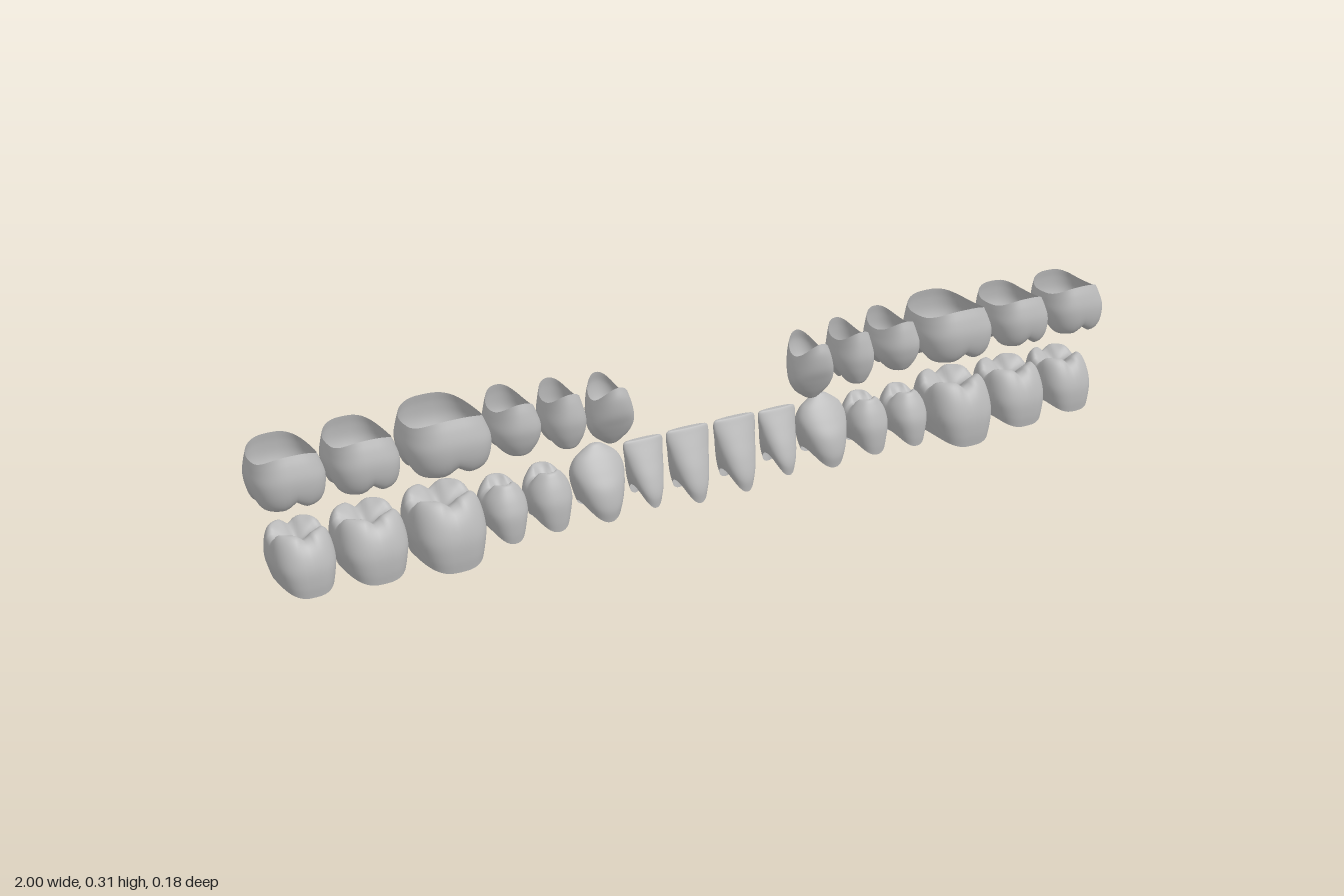
import * as THREE from 'three';

const SEGMENTS = 48, RINGS = 36;

// Crown profiles from open neck to biting surface: [width factor, depth factor, height]
const KINDS = {
  molar: {
    profile: [[0.86, 0.88, 0], [0.93, 0.96, 0.2], [1, 1, 0.45], [0.97, 0.93, 0.7], [0.88, 0.79, 0.9],
      [0.74, 0.64, 0.99], [0.52, 0.44, 0.95], [0.25, 0.22, 0.87], [0, 0, 0.84]],
    power: 2.8, margin: 0.02, lean: 0.02, grooveX: 0.17, grooveZ: 0.13,
  },
  premolar: {
    profile: [[0.78, 0.88, 0], [0.88, 0.96, 0.2], [1, 1, 0.48], [0.95, 0.9, 0.7], [0.74, 0.74, 0.89],
      [0.46, 0.58, 1], [0.3, 0.38, 0.95], [0.15, 0.18, 0.88], [0, 0, 0.85]],
    power: 2.3, margin: 0.025, lean: 0.015, grooveX: 0.16, grooveZ: 0,
  },
  canine: {
    profile: [[0.74, 0.9, 0], [0.84, 1, 0.18], [0.96, 0.92, 0.42], [1, 0.68, 0.63], [0.84, 0.44, 0.8],
      [0.5, 0.24, 0.92], [0.2, 0.1, 0.99], [0, 0, 1]],
    power: 2.1, margin: 0.035, lean: 0.015, grooveX: 0, grooveZ: 0,
  },
  incisor: {
    profile: [[0.62, 0.95, 0], [0.72, 1, 0.17], [0.84, 0.82, 0.42], [0.93, 0.5, 0.7], [0.99, 0.25, 0.9],
      [0.95, 0.15, 0.98], [0.5, 0.08, 1], [0, 0, 1]],
    power: 2.1, margin: 0.04, lean: 0.012, grooveX: 0, grooveZ: 0,
  },
};

// One hollow crown, open at the neck; upper crowns point downwards
function crownGeometry(kind, width, depth, height, upper) {
  const k = KINDS[kind];
  const curve = new THREE.CatmullRomCurve3(k.profile.map(p => new THREE.Vector3(...p)));
  const positions = [], index = [];
  const round = t => Math.sign(t) * Math.abs(t) ** (2 / k.power);
  for (let i = 0; i <= RINGS; i++) {
    const p = curve.getPoint(i / RINGS);
    for (let j = 0; j < SEGMENTS; j++) {
      const a = (j / SEGMENTS) * Math.PI * 2;
      const u = round(Math.cos(a)) * Math.max(p.x, 0);
      const v = round(Math.sin(a)) * Math.max(p.y, 0);
      // fissures between the cusps, fading down the walls
      const fade = Math.max(p.z, 0) ** 4;
      const drop = fade * (k.grooveX * Math.exp(-((v / 0.2) ** 2)) + k.grooveZ * Math.exp(-((u / 0.17) ** 2)));
      // the neck edge arches up on the sides that touch the neighbours
      const arch = k.margin * Math.cos(a) ** 2 * (1 - p.z) ** 2;
      const y = (p.z - drop) * height + arch;
      const lean = k.lean * (0.5 - p.z) * (upper ? -1 : 1);
      positions.push(u * width / 2, upper ? height - y : y, v * depth / 2 + lean);
    }
  }
  for (let i = 0; i < RINGS; i++) {
    for (let j = 0; j < SEGMENTS; j++) {
      const n = (j + 1) % SEGMENTS;
      const a = i * SEGMENTS + j, b = i * SEGMENTS + n, c = a + SEGMENTS, d = b + SEGMENTS;
      if (upper) index.push(a, b, c, b, d, c);
      else index.push(a, c, b, b, c, d);
    }
  }
  const g = new THREE.BufferGeometry();
  g.setAttribute('position', new THREE.Float32BufferAttribute(positions, 3));
  g.setIndex(index);
  g.computeVertexNormals();
  return g;
}

// name, kind, inner x, outer x, bottom y, top y, back z, front z
const UPPER = [
  ['Canine', 'canine', 0.19, 0.29, 0.165, 0.297, -0.05, 0.06],
  ['FirstPremolar', 'premolar', 0.3, 0.39, 0.185, 0.302, -0.062, 0.056],
  ['SecondPremolar', 'premolar', 0.4, 0.507, 0.195, 0.306, -0.073, 0.062],
  ['FirstMolar', 'molar', 0.513, 0.69, 0.193, 0.31, -0.09, 0.08],
  ['SecondMolar', 'molar', 0.705, 0.845, 0.195, 0.303, -0.08, 0.073],
  ['ThirdMolar', 'molar', 0.855, 1, 0.195, 0.303, -0.075, 0.07],
];
const LOWER = [
  ['CentralIncisor', 'incisor', 0.006, 0.107, 0.005, 0.155, -0.045, 0.052],
  ['LateralIncisor', 'incisor', 0.115, 0.207, 0.018, 0.153, -0.043, 0.05],
  ['Canine', 'canine', 0.212, 0.328, 0.015, 0.165, -0.055, 0.06],
  ['FirstPremolar', 'premolar', 0.336, 0.43, 0.018, 0.135, -0.053, 0.055],
  ['SecondPremolar', 'premolar', 0.437, 0.53, 0.018, 0.132, -0.056, 0.06],
  ['FirstMolar', 'molar', 0.537, 0.69, 0, 0.14, -0.077, 0.088],
  ['SecondMolar', 'molar', 0.7, 0.84, 0.01, 0.136, -0.073, 0.077],
  ['ThirdMolar', 'molar', 0.848, 0.972, 0.015, 0.133, -0.07, 0.072],
];

export function createModel() {
  const model = new THREE.Group();
  model.name = 'toothCrowns';
  const enamel = new THREE.MeshStandardMaterial({ color: 0xb8b8b8, side: THREE.DoubleSide });
  enamel.name = 'greyEnamel';

  for (const [rowName, row, upper] of [['upper', UPPER, true], ['lower', LOWER, false]]) {
    const group = new THREE.Group();
    group.name = rowName + 'Row';
    for (const [name, kind, x0, x1, y0, y1, z0, z1] of row) {
      const geometry = crownGeometry(kind, x1 - x0, z1 - z0, y1 - y0, upper);
      for (const side of [1, -1]) {
        const tooth = new THREE.Mesh(geometry, enamel);
        tooth.name = rowName + (side > 0 ? 'Left' : 'Right') + name;
        tooth.position.set(side * (x0 + x1) / 2, y0, (z0 + z1) / 2);
        group.add(tooth);
      }
    }
    model.add(group);
  }
  return model;
}
